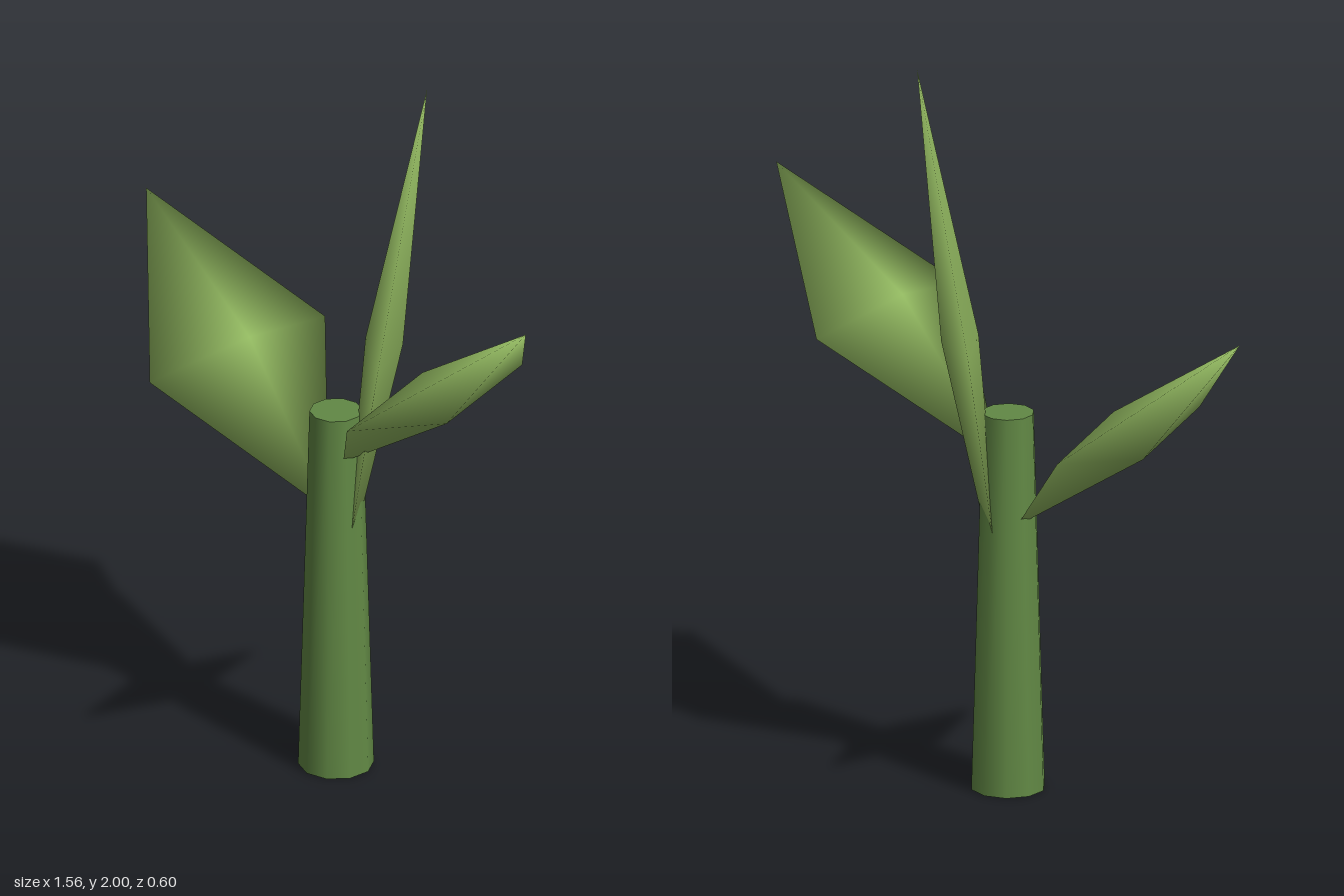
import * as THREE from 'three';

const leafMat = new THREE.MeshStandardMaterial({ name: 'leafGreen', color: 0x8fb55e });
const stemMat = new THREE.MeshStandardMaterial({ name: 'stemGreen', color: 0x628945 });

// Flat, smooth-shaded diamond leaf, placed by its centre, tip and sideways direction
function makeLeaf(name, center, tip, side, halfWidth, halfThickness) {
  const c = new THREE.Vector3(...center);
  const axis = new THREE.Vector3(...tip).sub(c);
  const halfLength = axis.length();
  axis.normalize();
  const across = new THREE.Vector3(...side).normalize();
  const normal = new THREE.Vector3().crossVectors(across, axis);

  const leaf = new THREE.Mesh(new THREE.SphereGeometry(1, 4, 2), leafMat);
  leaf.name = name;
  leaf.position.copy(c);
  leaf.quaternion.setFromRotationMatrix(new THREE.Matrix4().makeBasis(across, axis, normal));
  leaf.scale.set(halfWidth, halfLength, halfThickness);
  return leaf;
}

export function createModel() {
  const plant = new THREE.Group();
  plant.name = 'plant';

  // Tapered ten-sided stem
  const height = 1.04;
  const stem = new THREE.Mesh(new THREE.CylinderGeometry(0.07, 0.1, height, 10), stemMat);
  stem.name = 'stem';
  stem.position.y = height / 2;
  plant.add(stem);

  // Two broad side leaves and one tall narrow leaf at the back
  plant.add(
    makeLeaf('leftLeaf', [0.405, 1.235, 0], [0.78, 1.57, 0], [0, 0, 1], 0.3, 0.075),
    makeLeaf('rightLeaf', [-0.405, 1.06, 0], [-0.78, 1.39, 0], [0, 0, 1], 0.3, 0.075),
    makeLeaf('backLeaf', [0.09, 1.25, -0.09], [0.17, 2, -0.17], [1, 0, 1], 0.2, 0.05)
  );
  return plant;
}
